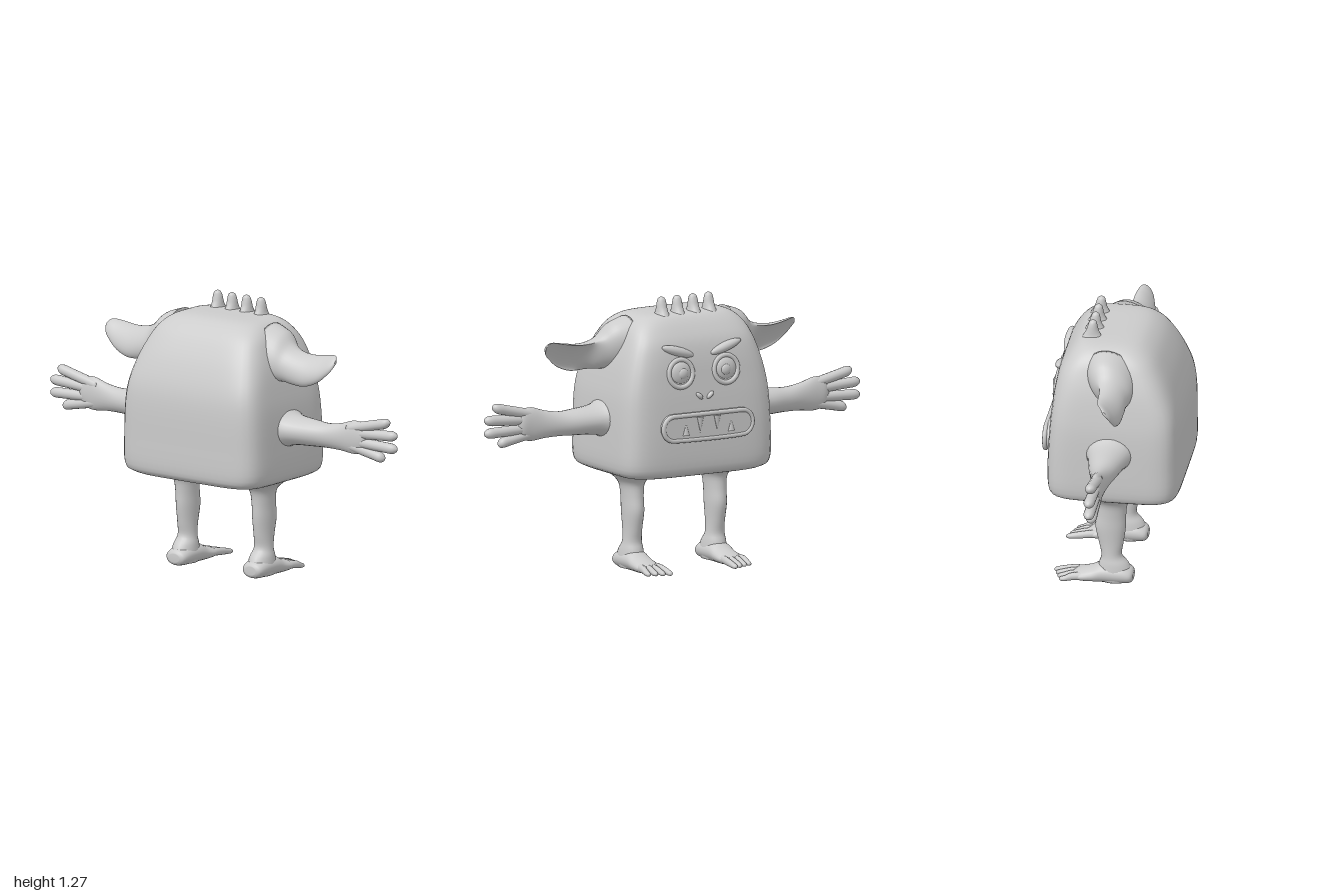
import * as THREE from 'three';

const material = new THREE.MeshStandardMaterial({ color: 0xcccccc, roughness: 0.8 });

function part(name, geometry, parent) {
  const mesh = new THREE.Mesh(geometry, material);
  mesh.name = name;
  parent.add(mesh);
  return mesh;
}

// Smoothly resample rows of numbers, column by column
function resample(rows, steps) {
  const out = [];
  const at = i => rows[Math.min(rows.length - 1, Math.max(0, i))];
  for (let i = 0; i < rows.length - 1; i++) {
    for (let s = 0; s < steps; s++) {
      const t = s / steps;
      out.push(rows[i].map((b, k) => {
        const a = at(i - 1)[k], c = at(i + 1)[k], d = at(i + 2)[k];
        return b + 0.5 * t * (c - a + t * (2 * a - 5 * b + 4 * c - d + t * (3 * (b - c) + d - a)));
      }));
    }
  }
  out.push(rows[rows.length - 1]);
  return out;
}

// Closed skin over cross-sections: section(row, angle) gives [x, y, z]
function loft(rows, section, sides = 24, steps = 4) {
  const rings = resample(rows, steps).map(r =>
    Array.from({ length: sides }, (_, j) => new THREE.Vector3(...section(r, j / sides * Math.PI * 2))));
  const points = rings.flat(), index = [];
  for (let i = 0; i < rings.length - 1; i++) {
    for (let j = 0; j < sides; j++) {
      const a = i * sides + j, b = i * sides + (j + 1) % sides;
      index.push(a, b, a + sides, b, b + sides, a + sides);
    }
  }
  [0, rings.length - 1].forEach((ring, end) => {
    const mid = rings[ring].reduce((m, p) => m.add(p), new THREE.Vector3()).divideScalar(sides);
    const c = points.push(mid) - 1;
    for (let j = 0; j < sides; j++) {
      const a = ring * sides + j, b = ring * sides + (j + 1) % sides;
      index.push(...(end ? [a, b, c] : [b, a, c]));
    }
  });
  // Turn the skin outward whichever way the sections run
  let volume = 0;
  const cross = new THREE.Vector3();
  for (let i = 0; i < index.length; i += 3) {
    volume += points[index[i]].dot(cross.crossVectors(points[index[i + 1]], points[index[i + 2]]));
  }
  if (volume < 0) index.reverse();
  const geometry = new THREE.BufferGeometry().setFromPoints(points);
  geometry.setIndex(index);
  geometry.computeVertexNormals();
  return geometry;
}

// Elliptical limb sections; rows are [x, y, z, radius1, radius2]
const across = {
  x: ([x, y, z, u, v], t) => [x, y + u * Math.cos(t), z + v * Math.sin(t)],
  y: ([x, y, z, u, v], t) => [x + u * Math.cos(t), y, z + v * Math.sin(t)],
  z: ([x, y, z, u, v], t) => [x + u * Math.cos(t), y + v * Math.sin(t), z],
};

// Body rows: [y, half width, z at +, z at -, squareness]
const bodyRows = [
  [0.452, 0.20, 0.15, -0.14, 4], [0.456, 0.30, 0.24, -0.21, 5], [0.47, 0.36, 0.295, -0.265, 6],
  [0.51, 0.39, 0.32, -0.288, 7], [0.65, 0.392, 0.322, -0.29, 7], [0.80, 0.386, 0.32, -0.282, 7],
  [0.90, 0.372, 0.306, -0.272, 7], [1.0, 0.35, 0.272, -0.26, 6], [1.08, 0.322, 0.232, -0.24, 5.5],
  [1.14, 0.292, 0.19, -0.205, 5], [1.18, 0.25, 0.14, -0.17, 4.5], [1.197, 0.2, 0.09, -0.14, 4],
  [1.202, 0.12, 0.03, -0.1, 3],
];
function bodySection([y, w, front, back, n], t) {
  const c = Math.cos(t), s = Math.sin(t);
  const r = (Math.abs(c) ** n + Math.abs(s) ** n) ** (-1 / n);
  return [w * c * r, y, (front + back) / 2 + (front - back) / 2 * s * r];
}

// Ear rows: [x, y, z, half length, half thickness, hollow side]
const earRows = [
  [0.26, 1.05, 0.01, 0.15, 0.12, 1], [0.34, 1.05, 0.015, 0.12, 0.09, 1],
  [0.39, 1.025, 0.02, 0.092, 0.07, 0.7], [0.44, 1.01, 0.025, 0.083, 0.06, 0.1],
  [0.51, 1.007, 0.028, 0.08, 0.048, -0.4], [0.58, 1.025, 0.028, 0.07, 0.035, -0.4],
  [0.63, 1.05, 0.03, 0.05, 0.022, -0.3], [0.65, 1.06, 0.032, 0.034, 0.014, 0], [0.66, 1.066, 0.033, 0.012, 0.006, 1],
];
function earSection([x, y, z, a, b, hollow], t) {
  const along = a * Math.cos(t), s = Math.sin(t), out = b * s * (s > 0 ? hollow : 1);
  return [x, y + 0.82 * along - 0.57 * out, z - 0.57 * along - 0.82 * out];
}

function addArm(side, parent) {
  const arm = new THREE.Group();
  arm.name = 'arm';
  parent.add(arm);
  const mirror = rows => rows.map(([x, ...rest]) => [x * side, ...rest]);
  part('armAndPalm', loft(mirror([
    [0.34, 0.72, 0.012, 0.12, 0.125], [0.385, 0.72, 0.012, 0.085, 0.105], [0.43, 0.718, 0.012, 0.068, 0.09],
    [0.52, 0.716, 0.01, 0.061, 0.07], [0.60, 0.715, 0.01, 0.057, 0.05], [0.68, 0.72, 0.01, 0.064, 0.037],
    [0.75, 0.727, 0.01, 0.078, 0.031], [0.80, 0.73, 0.01, 0.068, 0.028], [0.825, 0.73, 0.01, 0.035, 0.015],
  ]), across.x), arm);
  // Fingers: [base y, tip x, tip y]
  for (const [y, tx, ty] of [[0.765, 0.955, 0.82], [0.745, 0.998, 0.763], [0.71, 0.998, 0.702], [0.69, 0.925, 0.65]]) {
    const at = (f, r) => [0.72 + (tx - 0.72) * f, y + (ty - y) * f, 0.012, r, r * 1.05];
    part('finger', loft(mirror([at(0, 0.024), at(0.35, 0.024), at(0.7, 0.024), at(0.88, 0.024), at(0.96, 0.017), at(1, 0.005)]),
      across.x, 14), arm);
  }
}

function addLeg(side, parent) {
  const leg = new THREE.Group();
  leg.name = 'leg';
  parent.add(leg);
  const x = 0.22 * side;
  part('shin', loft([
    [x, 0.48, 0, 0.15, 0.17], [x, 0.45, 0.002, 0.095, 0.115], [x, 0.41, 0.004, 0.058, 0.073],
    [x, 0.35, 0, 0.048, 0.067], [x, 0.28, -0.005, 0.046, 0.07], [x, 0.2, -0.002, 0.042, 0.056],
    [x, 0.14, 0, 0.044, 0.047], [x, 0.1, 0.01, 0.053, 0.068], [x, 0.05, 0.015, 0.058, 0.082], [x, 0.015, 0.012, 0.05, 0.07],
  ], across.y), leg);
  part('foot', loft([
    [x, 0.045, 0.102, 0.03, 0.02], [x, 0.046, 0.088, 0.053, 0.036], [x, 0.052, 0.04, 0.061, 0.048],
    [x, 0.052, -0.04, 0.06, 0.048], [x, 0.041, -0.09, 0.06, 0.036], [x, 0.035, -0.14, 0.06, 0.027], [x, 0.033, -0.175, 0.045, 0.015],
  ], across.z), leg);
  [-0.045, -0.015, 0.015, 0.045].forEach((dx, i) => {
    const tip = -0.272 + 0.012 * (side > 0 ? i : 3 - i);
    part('toe', loft([
      [x + dx * 0.8, 0.038, -0.12, 0.018, 0.018], [x + dx, 0.034, -0.18, 0.015, 0.018],
      [x + dx * 1.05, 0.024, tip + 0.025, 0.014, 0.013], [x + dx * 1.05, 0.021, tip + 0.006, 0.01, 0.009], [x + dx * 1.05, 0.02, tip, 0.003, 0.003],
    ], across.z, 12), leg);
  });
}

function addFace(parent) {
  const face = new THREE.Group();
  face.name = 'face';
  parent.add(face);
  const ball = new THREE.SphereGeometry(1, 28, 18);
  const blob = (name, pos, size, tilt = 0) => {
    const mesh = part(name, ball, face);
    mesh.position.set(...pos);
    mesh.scale.set(...size);
    mesh.rotation.z = tilt;
    return mesh;
  };
  for (const side of [-1, 1]) {
    const x = 0.12 * side;
    blob('eyeball', [x, 0.945, -0.254], [0.06, 0.058, 0.028]);
    blob('pupil', [x * 0.95, 0.945, -0.274], [0.026, 0.026, 0.014]);
    const lid = part('eyelid', new THREE.TorusGeometry(0.063, 0.012, 12, 40), face);
    lid.position.set(x, 0.945, -0.264);
    lid.rotation.x = 0.12;
    // Brows drop toward the nose
    blob('eyebrow', [side * 0.125, 1.045, -0.248], [0.088, 0.022, 0.024], side * 0.3);
    blob('nostril', [side * 0.028, 0.835, -0.279], [0.022, 0.011, 0.013], side * 0.75);
  }
  // Mouth: a padded bar with a raised rim
  const w = 0.175, r = 0.052;
  const bar = new THREE.Shape();
  bar.absarc(w, 0, r, -Math.PI / 2, Math.PI / 2);
  bar.absarc(-w, 0, r, Math.PI / 2, Math.PI * 1.5);
  const mouth = part('mouth', new THREE.ExtrudeGeometry(bar, {
    depth: 0.02, bevelSize: 0.012, bevelThickness: 0.012, bevelSegments: 5, curveSegments: 16,
  }), face);
  mouth.position.set(0, 0.7, -0.301);
  const rim = bar.getSpacedPoints(48).slice(0, -1).map(p => new THREE.Vector3(p.x * 1.04, p.y * 1.08 + 0.7, -0.308));
  part('lips', new THREE.TubeGeometry(new THREE.CatmullRomCurve3(rim, true), 96, 0.011, 10, true), face);
  // Teeth: two tall fangs and two short ones
  for (const [x, h] of [[-0.12, 0.055], [-0.045, 0.075], [0.045, 0.075], [0.12, 0.055]]) {
    const tooth = part('tooth', new THREE.ConeGeometry(0.017, h, 16), face);
    tooth.position.set(x, 0.7 + (h > 0.06 ? 0.008 : -0.008), -0.314);
    tooth.scale.z = 0.5;
    if (h > 0.06) tooth.rotation.z = Math.PI;
  }
}

export function createModel() {
  const model = new THREE.Group();
  model.name = 'monster';
  part('body', loft(bodyRows, bodySection, 96, 4), model);
  for (const side of [1, -1]) {
    part('ear', loft(earRows.map(([x, ...rest]) => [x * side, ...rest]), earSection, 32, 5), model);
    addArm(side, model);
    addLeg(side, model);
  }
  // Row of knobs on the crown
  for (const x of [-0.125, -0.042, 0.042, 0.125]) {
    part('headKnob', loft([
      [x, 1.17, -0.105, 0.045, 0.06], [x, 1.2, -0.105, 0.029, 0.042], [x, 1.225, -0.104, 0.025, 0.029],
      [x, 1.25, -0.103, 0.022, 0.022], [x, 1.268, -0.102, 0.016, 0.016], [x, 1.276, -0.102, 0.005, 0.005],
    ], across.y, 18), model);
  }
  addFace(model);
  return model;
}
